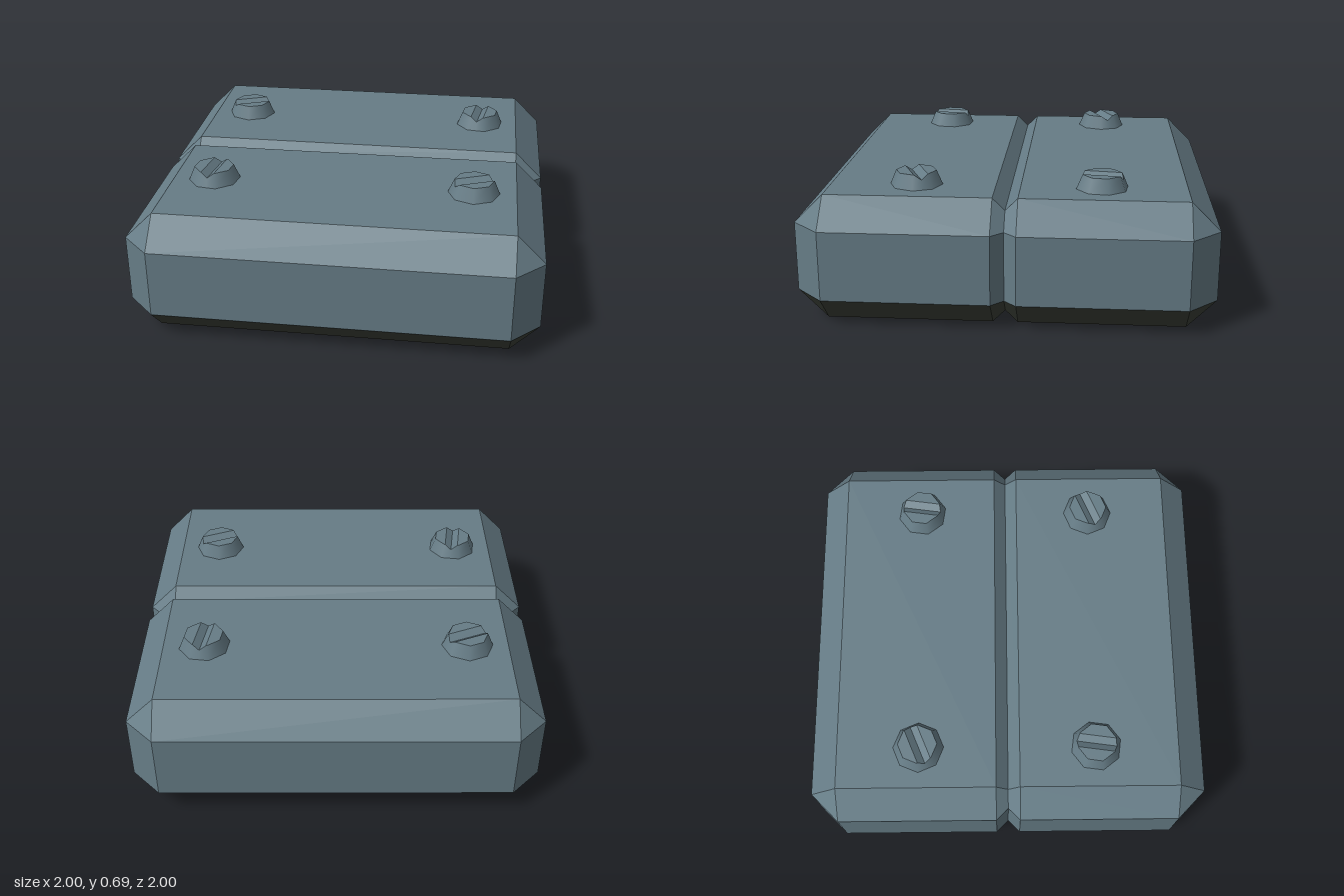
import * as THREE from 'three';

const TOP = 0.62, CHAMFER = 0.14;

// Geometry from convex polygons (corners counter-clockwise from outside),
// flat unless a rule gives the normal at each point
function fromPolygons(polygons, normalAt) {
  const pos = [], nor = [];
  const tri = new THREE.Triangle(), flat = new THREE.Vector3();
  for (const p of polygons) {
    for (let i = 1; i < p.length - 1; i++) {
      tri.set(p[0], p[i], p[i + 1]);
      if (tri.getArea() < 1e-8) continue;
      tri.getNormal(flat);
      for (const c of [tri.a, tri.b, tri.c]) {
        pos.push(c.x, c.y, c.z);
        nor.push(...(normalAt ? normalAt(c) : flat).toArray());
      }
    }
  }
  const g = new THREE.BufferGeometry();
  g.setAttribute('position', new THREE.Float32BufferAttribute(pos, 3));
  g.setAttribute('normal', new THREE.Float32BufferAttribute(nor, 3));
  return g;
}

// Octagonal cross-section of the slab at depth z, with its flats pulled in by d
function section(z, d) {
  const xi = 1 - CHAMFER, xo = 1 - d, lo = CHAMFER, hi = TOP - CHAMFER;
  return [
    [-xi, d], [xi, d], [xo, lo], [xo, hi],
    [xi, TOP - d], [-xi, TOP - d], [-xo, hi], [-xo, lo],
  ].map(([x, y]) => new THREE.Vector3(x, y, z));
}

// Chamfered slab with a V groove all round its middle, sorted by colour:
// upper shell, sloping lower edges and flat underside
function slabGeometries() {
  const rings = [
    [-1, CHAMFER], [-0.86, 0], [-0.06, 0], [0, 0.06], [0.06, 0], [0.86, 0], [1, CHAMFER],
  ].map(([z, d]) => section(z, d));
  const shell = [[...rings[0]].reverse(), rings[rings.length - 1]];
  const lowerEdges = [], underside = [];
  for (let r = 0; r < rings.length - 1; r++) {
    const a = rings[r], b = rings[r + 1];
    for (let j = 0; j < 8; j++) {
      const k = (j + 1) % 8;
      let target = shell;
      if (j === 0 && a[0].y === b[0].y) target = underside;
      else if (j === 0 || j === 1 || j === 7) target = lowerEdges;
      target.push([a[j], a[k], b[k], b[j]]);
    }
  }
  return [shell, lowerEdges, underside].map((p) => fromPolygons(p));
}

// Eight-sided tapered screw head with a V slot along its x axis:
// smooth sides, and a flat top with slot walls
function screwGeometries() {
  const rBottom = 0.128, rTop = 0.098, h = 0.07, slotHalf = 0.034, slotDepth = 0.025;
  const n = 4, apothem = Math.cos(Math.PI / (2 * n));
  const sides = [], head = [];
  for (const turn of [1, -1]) {
    const v = (x, y, s) => new THREE.Vector3(x * turn, y, -s * turn);
    const rim = (r, y) => Array.from({ length: n }, (_, i) => {
      const t = (i + 0.5) * Math.PI / n;
      return v(r * Math.cos(t), y, r * Math.sin(t));
    });
    const b = rim(rBottom, 0), t = rim(rTop, h);
    const xb = rBottom * apothem, xt = rTop * apothem;
    const xv = xt + (xb - xt) * slotDepth / h;
    const end = (sign) => [
      v(sign * xb, 0, 0), v(sign * xt, h, slotHalf), v(sign * xv, h - slotDepth, 0),
    ];
    const [b1, s1, v1] = end(1), [b2, s2, v2] = end(-1);
    head.push([s1, ...t, s2], [v2, v1, s1, s2]);
    sides.push([b1, b[0], t[0], s1, v1], [b[n - 1], b2, v2, s2, t[n - 1]]);
    for (let i = 0; i < n - 1; i++) sides.push([b[i], b[i + 1], t[i + 1], t[i]]);
  }
  const slope = (rBottom - rTop) / h;
  const coneNormal = (p) => {
    const r = Math.hypot(p.x, p.z);
    return new THREE.Vector3(p.x / r, slope, p.z / r).normalize();
  };
  return [fromPolygons(sides, coneNormal), fromPolygons(head)];
}

function material(name, color) {
  const m = new THREE.MeshStandardMaterial({ color });
  m.name = name;
  return m;
}

function addMesh(parent, name, geometry, mat) {
  const m = new THREE.Mesh(geometry, mat);
  m.name = name;
  parent.add(m);
}

export function createModel() {
  const group = new THREE.Group();
  group.name = 'metalPlate';
  const steel = material('blueGreySteel', 0x667c86);
  const grime = material('darkOliveGrey', 0x3b4037);
  const earth = material('earthBrown', 0x59381c);

  // Slab
  const [shell, lowerEdges, underside] = slabGeometries();
  addMesh(group, 'slabShell', shell, steel);
  addMesh(group, 'slabLowerEdges', lowerEdges, grime);
  addMesh(group, 'slabUnderside', underside, earth);

  // One screw near each corner, slots turned alternately
  const [sides, head] = screwGeometries();
  const screws = [
    ['backRightScrew', -0.655, -0.45, 22.5],
    ['backLeftScrew', 0.655, -0.45, 82],
    ['frontRightScrew', -0.655, 0.445, 82],
    ['frontLeftScrew', 0.65, 0.445, 22.5],
  ];
  for (const [name, x, z, angle] of screws) {
    const screw = new THREE.Group();
    screw.name = name;
    screw.position.set(x, TOP, z);
    screw.rotation.y = THREE.MathUtils.degToRad(angle);
    addMesh(screw, 'screwSides', sides, steel);
    addMesh(screw, 'slottedHead', head, steel);
    group.add(screw);
  }
  return group;
}
